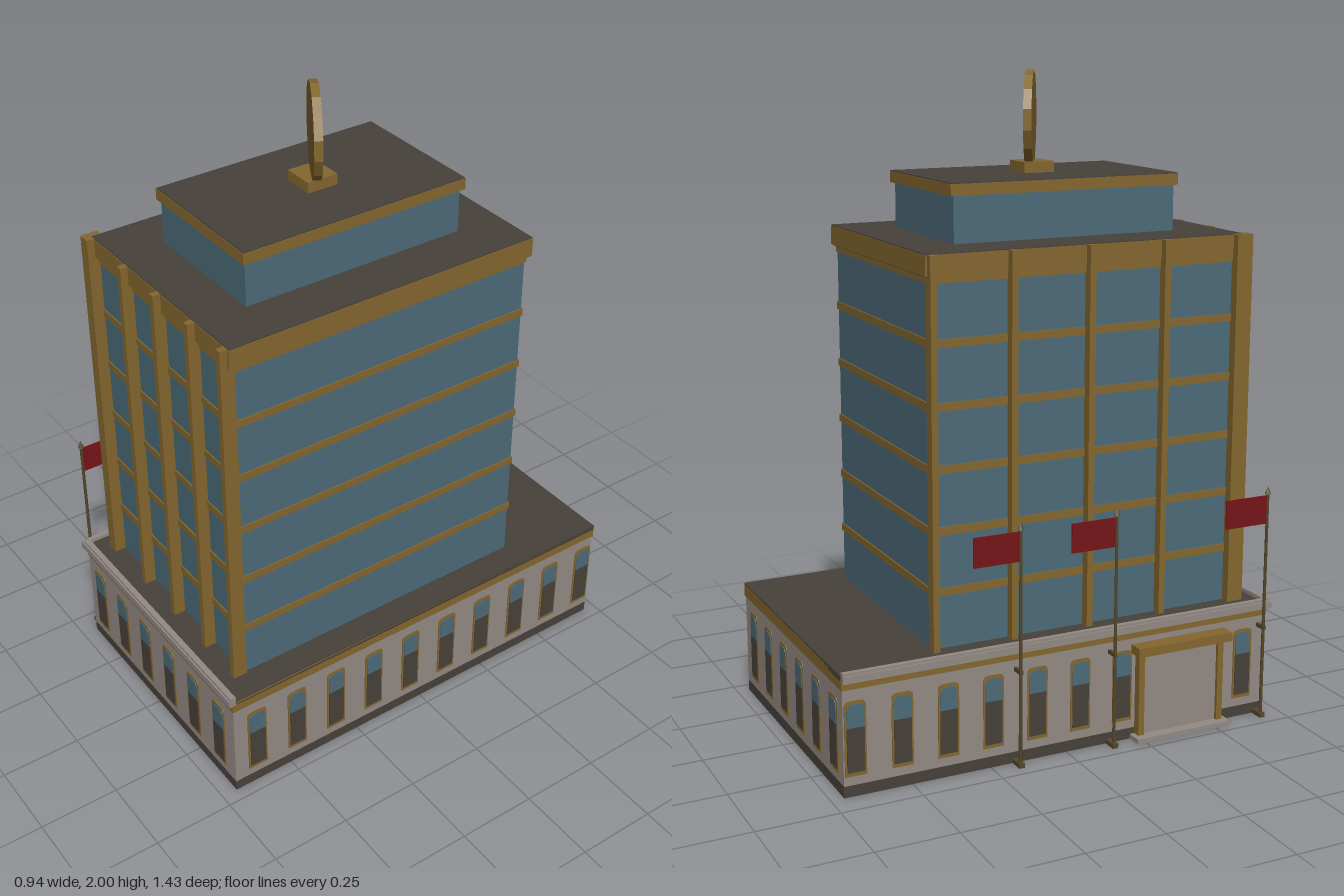
import * as THREE from 'three';

const mat = (name, color) => Object.assign(new THREE.MeshStandardMaterial({ color }), { name });

export function createModel() {
  const stone = mat('stone', 0x948a84);
  const gold = mat('bronze gold', 0x84672f);
  const glass = mat('blue glass', 0x4c6b79);
  const dark = mat('dark roof', 0x48413b);
  const pole = mat('pole metal', 0x54482c);
  const red = mat('flag red', 0x761418);
  const model = new THREE.Group();
  model.name = 'officeTower';

  // Box given by its min and max along each axis
  function box(name, m, x0, x1, y0, y1, z0, z1, parent = model) {
    const mesh = new THREE.Mesh(new THREE.BoxGeometry(x1 - x0, y1 - y0, z1 - z0), m);
    mesh.position.set((x0 + x1) / 2, (y0 + y1) / 2, (z0 + z1) / 2);
    mesh.name = name;
    parent.add(mesh);
    return mesh;
  }

  // Four thin walls around an open rectangle
  function ring(name, m, x0, x1, y0, y1, z0, z1, t) {
    const g = new THREE.Group();
    g.name = name;
    box(name + 'Front', m, x0, x1, y0, y1, z1 - t, z1, g);
    box(name + 'Back', m, x0, x1, y0, y1, z0, z0 + t, g);
    box(name + 'Left', m, x1 - t, x1, y0, y1, z0 + t, z1 - t, g);
    box(name + 'Right', m, x0, x0 + t, y0, y1, z0 + t, z1 - t, g);
    model.add(g);
  }

  // Podium: open-bottomed shell with plinth, gold band and flat roof
  ring('podiumPlinth', dark, -0.42, 0.46, 0, 0.035, -0.71, 0.70, 0.02);
  ring('podiumWall', stone, -0.42, 0.46, 0.035, 0.325, -0.71, 0.70, 0.02);
  ring('podiumBand', gold, -0.423, 0.463, 0.325, 0.364, -0.713, 0.703, 0.025);
  box('podiumRoof', dark, -0.42, 0.463, 0.352, 0.368, -0.713, 0.695);
  box('frontCornice', stone, -0.44, 0.463, 0.35, 0.372, 0.69, 0.713);
  box('sideCornice', stone, -0.44, -0.42, 0.35, 0.372, -0.713, 0.69);
  box('frontCorniceTop', stone, -0.43, 0.463, 0.372, 0.38, 0.69, 0.708);
  box('sideCorniceTop', stone, -0.435, -0.42, 0.372, 0.38, -0.713, 0.69);

  // Window panes with rounded or square ends, cut right through the thin wall
  function pane(w, y0, y1, arch, depth) {
    const h = w / 2, s = new THREE.Shape();
    s.moveTo(-h, y0);
    s.lineTo(h, y0);
    s.lineTo(h, y1 - arch);
    if (arch) s.quadraticCurveTo(h, y1, h - arch, y1).lineTo(arch - h, y1).quadraticCurveTo(-h, y1, -h, y1 - arch);
    else s.lineTo(-h, y1);
    const geo = new THREE.ExtrudeGeometry(s, { depth, bevelEnabled: false, curveSegments: 3 });
    return geo.translate(0, 0, -depth / 2);
  }
  const windowParts = [
    ['windowFrame', pane(0.066, 0.063, 0.29, 0.016, 0.026), gold],
    ['windowOpening', pane(0.054, 0.075, 0.21, 0, 0.031), dark],
    ['windowGlass', pane(0.054, 0.21, 0.281, 0.02, 0.031), glass],
  ];
  function addWindow(x, z, turn) {
    const g = new THREE.Group();
    g.name = 'podiumWindow';
    for (const [name, geo, m] of windowParts) {
      const mesh = new THREE.Mesh(geo, m);
      mesh.name = name;
      g.add(mesh);
    }
    g.position.set(x, 0, z);
    g.rotation.y = turn;
    model.add(g);
  }
  for (let i = 0; i < 6; i++) {
    const x = -0.35 + i * 0.145;
    addWindow(x, 0.69, 0);
    addWindow(x, -0.70, Math.PI);
  }
  for (let i = 0; i < 10; i++) {
    const z = 0.62 - i * 0.1437;
    addWindow(0.45, z, Math.PI / 2);
    if (i !== 1 && i !== 2) addWindow(-0.41, z, -Math.PI / 2);
  }

  // Side entrance with canopy, posts and step
  box('entrancePanel', stone, -0.435, -0.42, 0.015, 0.28, 0.25, 0.52);
  box('entranceCanopy', gold, -0.47, -0.42, 0.278, 0.306, 0.22, 0.55);
  for (const z of [0.235, 0.515]) box('entrancePost', gold, -0.445, -0.42, 0.015, 0.278, z, z + 0.02);
  box('entranceStep', stone, -0.47, -0.42, 0, 0.015, 0.22, 0.55);

  // Tower glass with floor bands
  box('towerGlass', glass, -0.345, 0.375, 0.366, 1.47, -0.40, 0.608);
  for (let i = 0; i < 6; i++) {
    const y = 0.54 + i * 0.182;
    box('floorBand', gold, -0.349, 0.379, y - 0.012, y + 0.012, -0.404, 0.612);
  }
  box('parapet', gold, -0.352, 0.39, 1.46, 1.519, -0.415, 0.622);
  box('parapetSoffit', dark, -0.348, 0.386, 1.457, 1.46, -0.411, 0.618);
  box('towerRoof', dark, -0.35, 0.388, 1.519, 1.522, -0.413, 0.62);

  // Vertical fins on the front and the right side
  for (const x of [-0.15, 0.03, 0.21, 0.372])
    box('frontFin', gold, x - 0.01, x + 0.01, 0.366, 1.52, 0.60, 0.645);
  for (const z of [-0.40, -0.15, 0.10, 0.35, 0.60])
    box('sideFin', gold, -0.375, -0.34, 0.366, 1.52, z - 0.01, z + 0.01);
  box('cornerColumn', gold, -0.373, -0.334, 0.366, 1.521, 0.60, 0.645);

  // Penthouse
  box('penthouseGlass', glass, -0.20, 0.235, 1.52, 1.662, -0.26, 0.468);
  box('penthouseCap', gold, -0.208, 0.247, 1.66, 1.694, -0.272, 0.479);
  box('penthouseRoof', dark, -0.206, 0.245, 1.694, 1.697, -0.27, 0.477);

  // Rooftop disc on its pedestal
  box('discPedestal', gold, -0.03, 0.07, 1.695, 1.73, 0.05, 0.15);
  const discGeo = new THREE.CylinderGeometry(0.14, 0.14, 0.025, 14).toNonIndexed();
  discGeo.computeVertexNormals();
  discGeo.rotateX(Math.PI / 2);
  const disc = new THREE.Mesh(discGeo, gold);
  disc.name = 'roofDisc';
  disc.position.set(0.025, 1.86, 0.095);
  disc.rotation.y = -Math.PI / 6;
  model.add(disc);

  // Flagpoles along the right side
  for (const z of [-0.17, 0.145, 0.675]) {
    const g = new THREE.Group();
    g.name = 'flagpole';
    box('poleFoot', pole, -0.465, -0.42, 0, 0.014, z - 0.009, z + 0.009, g);
    box('poleBracket', pole, -0.46, -0.42, 0.29, 0.302, z - 0.005, z + 0.005, g);
    const shaft = new THREE.Mesh(new THREE.CylinderGeometry(0.005, 0.006, 0.74, 6), pole);
    shaft.name = 'poleShaft';
    shaft.position.set(-0.453, 0.37, z);
    const tip = new THREE.Mesh(new THREE.ConeGeometry(0.01, 0.025, 6), pole);
    tip.name = 'poleTip';
    tip.position.set(-0.453, 0.742, z);
    g.add(shaft, tip);
    box('flag', red, -0.455, -0.451, 0.635, 0.725, z - 0.15, z - 0.004, g);
    model.add(g);
  }
  return model;
}
